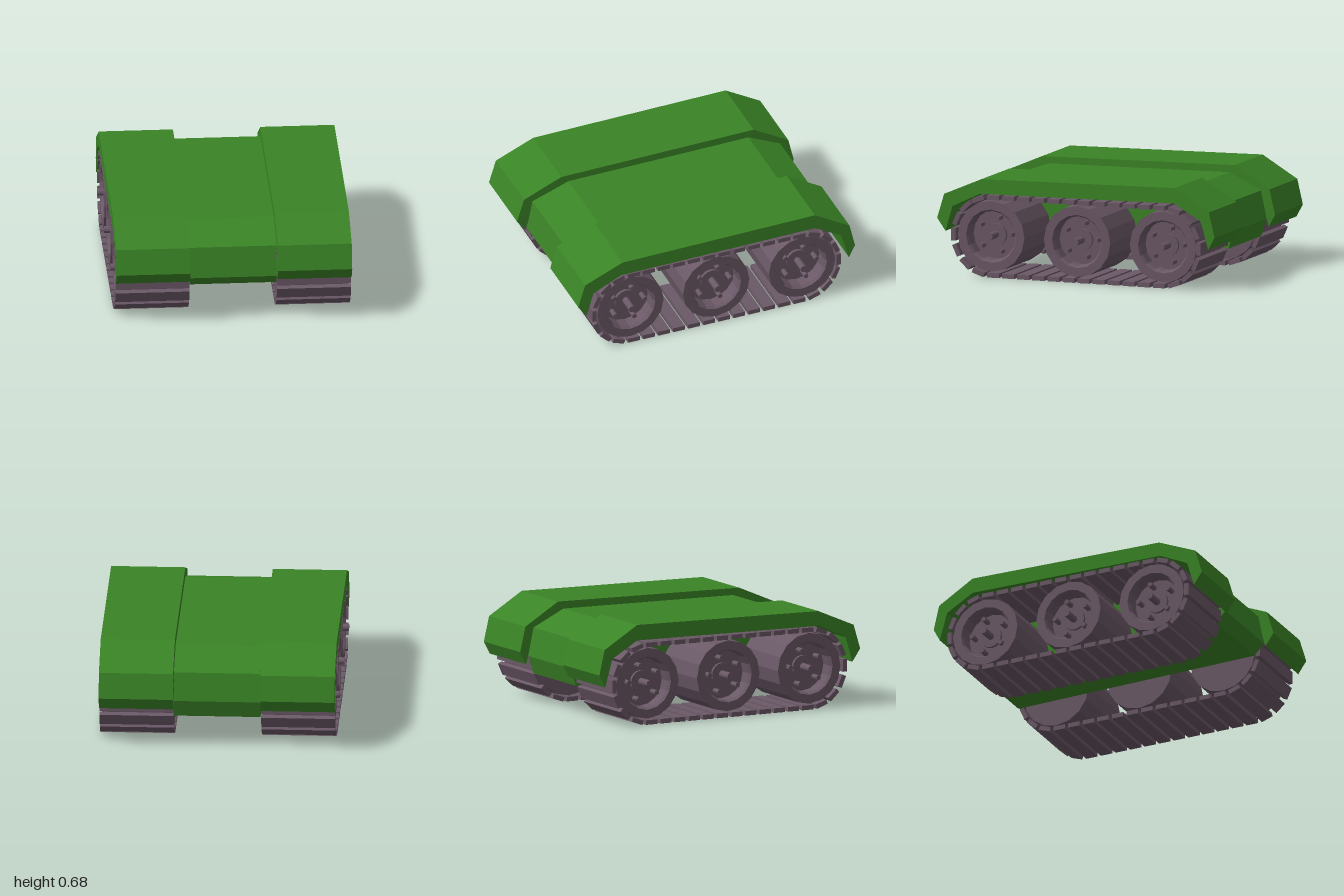
import * as THREE from 'three';

const INNER = 0.293, OUTER = 0.79;      // x range of a track unit
const AXLE_Y = 0.285, AXLE_Z = 0.62;    // wheel centres
const LOOP_R = 0.263;                   // track centreline radius
const PADS = 38;

// Side profile of (z, y) points, extruded across x
function slab(points, x0, x1) {
  const shape = new THREE.Shape(points.map(([z, y]) => new THREE.Vector2(z, y)));
  return new THREE.ExtrudeGeometry(shape, { depth: x1 - x0, bevelEnabled: false })
    .rotateY(-Math.PI / 2).translate(x1, 0, 0);
}

// Faceted lathe of (radius, distance out) points, pointing outwards on its side
function turned(points, sides, side) {
  const geo = new THREE.LatheGeometry(points.map(([r, d]) => new THREE.Vector2(r, d)), sides)
    .rotateZ(-side * Math.PI / 2).toNonIndexed();
  geo.computeVertexNormals();
  return geo;
}

// Position and direction at distance s along the stadium-shaped track loop
function loopPoint(s) {
  const straight = 2 * AXLE_Z, arc = Math.PI * LOOP_R;
  const half = straight + arc;
  const flip = s >= half ? -1 : 1;
  const t = s % half;
  let z, y, angle;
  if (t < straight) {
    z = t - AXLE_Z; y = -LOOP_R; angle = 0;
  } else {
    angle = (t - straight) / LOOP_R;
    z = AXLE_Z + Math.sin(angle) * LOOP_R;
    y = -Math.cos(angle) * LOOP_R;
  }
  return { z: z * flip, y: AXLE_Y + y * flip, angle };
}

export function createModel() {
  const green = new THREE.MeshStandardMaterial({ color: 0x3a8426 });
  green.name = 'armour green';
  const metal = new THREE.MeshStandardMaterial({ color: 0x6a5866 });
  metal.name = 'track metal';

  const model = new THREE.Group();
  model.name = 'trackedChassis';
  const add = (parent, geo, mat, name) => {
    const mesh = new THREE.Mesh(geo, mat);
    mesh.name = name;
    parent.add(mesh);
    return mesh;
  };

  // Central hull
  add(model, slab([
    [0.93, 0.325], [0.89, 0.53], [0.63, 0.625], [-0.67, 0.64],
    [-0.90, 0.53], [-0.94, 0.34], [-0.90, 0.22], [0.86, 0.25],
  ], -0.29, 0.29), green, 'hull');

  // Hollow fender profile: outer edge, then back along the inner edge
  const fenderProfile = [
    [0.94, 0.305], [1.0, 0.39], [0.95, 0.555], [0.68, 0.67], [-0.71, 0.69],
    [-0.96, 0.54], [-1.0, 0.37], [-0.955, 0.285],
    [-0.90, 0.475], [-0.71, 0.585], [0.69, 0.57], [0.89, 0.475],
  ];

  // Dished wheel profile
  const wheelProfile = [
    [0, 0.30], [0.24, 0.30], [0.24, 0.775], [0.18, 0.775], [0.168, 0.755],
    [0.168, 0.67], [0.075, 0.67], [0.075, 0.69], [0, 0.69],
  ];

  const loopLength = 4 * AXLE_Z + 2 * Math.PI * LOOP_R;
  const pitch = loopLength / PADS;

  for (const side of [1, -1]) {
    const label = side > 0 ? 'left' : 'right';
    const x0 = side > 0 ? INNER : -OUTER, x1 = side > 0 ? OUTER : -INNER;

    add(model, slab(fenderProfile, x0, x1), green, label + 'Fender');

    // Track pads around the loop
    const track = new THREE.Group();
    track.name = label + 'Track';
    model.add(track);
    const padGeo = new THREE.BoxGeometry(OUTER - INNER, 0.031, 0.085);
    for (let i = 0; i < PADS; i++) {
      const p = loopPoint((AXLE_Z + (i + 0.5) * pitch) % loopLength);
      const pad = add(track, padGeo, metal, 'trackPad');
      pad.position.set(side * (INNER + OUTER) / 2, p.y, p.z);
      pad.rotation.x = -p.angle;
    }

    // Three road wheels with axle and bolts
    const wheelGeo = turned(wheelProfile, 16, side);
    const axleGeo = turned([[0.024, 0.68], [0.024, 0.807], [0, 0.807]], 10, side);
    const boltGeo = turned([[0.017, 0.66], [0.017, 0.74], [0, 0.74]], 8, side);
    for (const z of [AXLE_Z, 0, -AXLE_Z]) {
      const wheel = new THREE.Group();
      wheel.name = label + 'Wheel';
      wheel.position.set(0, AXLE_Y, z - 0.003);
      model.add(wheel);
      add(wheel, wheelGeo, metal, 'wheelDish');
      add(wheel, axleGeo, metal, 'axle');
      for (let k = 0; k < 5; k++) {
        const a = k * Math.PI * 2 / 5 + 0.06;
        add(wheel, boltGeo, metal, 'wheelBolt')
          .position.set(0, Math.sin(a) * 0.12, -Math.cos(a) * 0.12);
      }
    }
  }
  return model;
}
